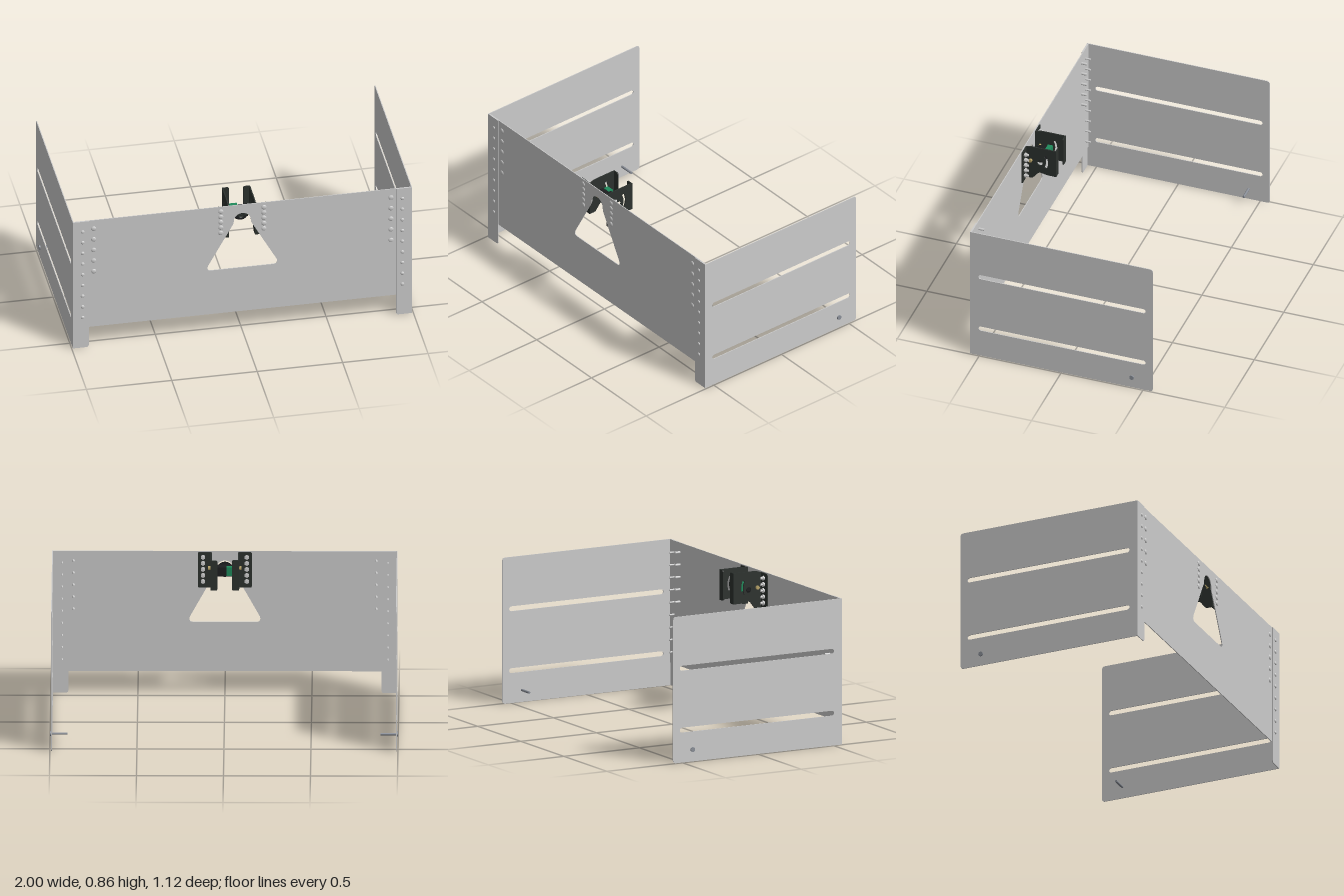
import * as THREE from 'three';

const material = (color) => new THREE.MeshStandardMaterial({ color, side: THREE.DoubleSide });
const T = 0.005; // sheet thickness
const TOP = 0.857;

// polygon with rounded corners; each point is [x, y, radius]
function roundedPath(points, target) {
  const n = points.length;
  points.forEach(([x, y, r = 0], i) => {
    const p = new THREE.Vector2(x, y);
    const toward = (q) => new THREE.Vector2(q[0], q[1]).sub(p).setLength(r || 1e-6).add(p);
    const a = toward(points[(i + n - 1) % n]);
    const b = toward(points[(i + 1) % n]);
    if (i === 0) target.moveTo(a.x, a.y);
    else target.lineTo(a.x, a.y);
    if (r) target.quadraticCurveTo(x, y, b.x, b.y);
  });
  target.closePath();
  return target;
}

function slotPath(u0, u1, y, r) {
  const p = new THREE.Path();
  p.moveTo(u0 + r, y - r);
  p.lineTo(u1 - r, y - r);
  p.absarc(u1 - r, y, r, -Math.PI / 2, Math.PI / 2, false);
  p.lineTo(u0 + r, y + r);
  p.absarc(u0 + r, y, r, Math.PI / 2, Math.PI * 1.5, false);
  return p;
}

const circlePath = (x, y, r) => new THREE.Path().absarc(x, y, r, 0, Math.PI * 2, true);

const sheet = (shape, depth = T) =>
  new THREE.ExtrudeGeometry(shape, { depth, bevelEnabled: false, curveSegments: 10 });

export function createModel() {
  const model = new THREE.Group();
  const grey = material(0xcccccc);
  const dark = material(0x2c312e);
  const black = material(0x1c1d1f);
  const green = material(0x1f8a5b);
  const brass = material(0xb8a468);
  const steel = material(0x8a8f98);

  const add = (parent, name, geometry, mat, x = 0, y = 0, z = 0) => {
    const mesh = new THREE.Mesh(geometry, mat);
    mesh.name = name;
    mesh.position.set(x, y, z);
    parent.add(mesh);
    return mesh;
  };

  // front sheet with bell-shaped opening
  const front = roundedPath([[-0.987, 0.133], [0.987, 0.133], [0.987, TOP], [-0.987, TOP]], new THREE.Shape());
  const opening = new THREE.Path();
  opening.moveTo(-0.185, 0.43);
  opening.lineTo(0.185, 0.43);
  opening.quadraticCurveTo(0.212, 0.432, 0.2, 0.465);
  opening.lineTo(0.062, 0.715);
  opening.quadraticCurveTo(0.052, 0.73, 0.05, 0.75);
  opening.absarc(0, 0.75, 0.05, 0, Math.PI, false);
  opening.quadraticCurveTo(-0.052, 0.73, -0.062, 0.715);
  opening.lineTo(-0.2, 0.465);
  opening.quadraticCurveTo(-0.212, 0.432, -0.185, 0.43);
  front.holes.push(opening);
  add(model, 'frontPanel', sheet(front), grey, 0, 0, 0.548);

  // domed fastener pointing backwards from the front face
  const headGeo = new THREE.SphereGeometry(1, 16, 6, 0, Math.PI * 2, 0, Math.PI / 2).rotateX(Math.PI / 2);
  const fastener = (name, x, y, r, zFace, zEnd) => {
    const g = new THREE.Group();
    g.name = name;
    const head = add(g, 'head', headGeo, grey, x, y, zFace);
    head.scale.set(r, r, 0.006);
    const length = zFace - zEnd;
    add(g, 'shank', new THREE.CylinderGeometry(r * 0.5, r * 0.5, length, 12).rotateX(Math.PI / 2),
      grey, x, y, zFace - length / 2);
    model.add(g);
    return g;
  };

  for (const s of [-1, 1]) {
    // side panel drawn in (-z, y), with two long slots
    const side = roundedPath([[-0.558, 0], [0.558, 0, 0.02], [0.558, TOP, 0.02], [-0.558, TOP]], new THREE.Shape());
    for (const y of [0.19, 0.553]) side.holes.push(slotPath(-0.506, 0.514, y, 0.0145));
    add(model, 'sidePanel', sheet(side).rotateY(Math.PI / 2), grey, s * 0.9905 - T / 2);

    // flange folded over the front sheet, reaching down as a leg
    const flange = roundedPath([[s * 0.9, 0, 0.015], [s * 0.993, 0], [s * 0.993, TOP], [s * 0.9, TOP]], new THREE.Shape());
    add(model, 'sideFlange', sheet(flange), grey, 0, 0, 0.553);

    // fastener columns
    for (let i = 0; i < 9; i++) fastener('flangeRivet', s * 0.936, 0.205 + i * 0.073, 0.011, 0.558, 0.515);
    for (let i = 0; i < 5; i++) {
      fastener('panelScrew', s * 0.87, 0.51 + i * 0.0725, 0.015, 0.553, 0.515);
      const y = 0.68 + i * 0.0363;
      fastener('bracketScrew', s * 0.126, y, 0.015, 0.553, 0.513);
      add(model, 'bracketNut', new THREE.CylinderGeometry(0.014, 0.014, 0.01, 6).rotateX(Math.PI / 2),
        grey, s * 0.126, y, 0.53);
    }

    // pin through the rear lower corner
    add(model, 'sidePin', new THREE.CylinderGeometry(0.007, 0.007, 0.095, 14).rotateZ(Math.PI / 2),
      steel, s * 0.948, 0.07, -0.43);
    add(model, 'sidePinHead', new THREE.CylinderGeometry(0.0135, 0.0135, 0.007, 20).rotateZ(Math.PI / 2),
      steel, s * 0.9965, 0.07, -0.43);
  }

  // mounting brackets behind the opening
  const mount = new THREE.Group();
  mount.name = 'mountBrackets';
  model.add(mount);
  const B = 0.007;
  for (const s of [-1, 1]) {
    const top = s < 0 ? 0.862 : 0.858;
    const wing = roundedPath([[s * 0.078, 0.64], [s * 0.155, 0.64, 0.01], [s * 0.155, 0.852, 0.01], [s * 0.078, 0.852]], new THREE.Shape());
    add(mount, 'bracketWing', sheet(wing, B), dark, 0, 0, 0.54);

    // cheek plate drawn in (-z, y) with a pivot hole and an arc slot
    const cheek = roundedPath([[-0.546, 0.64], [-0.505, 0.64, 0.01], [-0.465, 0.69, 0.015], [-0.41, 0.68, 0.01],
      [-0.362, 0.68], [-0.362, top], [-0.51, top, 0.01], [-0.546, 0.85]], new THREE.Shape());
    cheek.holes.push(circlePath(-0.515, 0.765, 0.008), circlePath(-0.46, 0.755, 0.017));
    const arc = new THREE.Path();
    arc.absarc(-0.515, 0.765, 0.105, -0.4, 0.5, false);
    arc.absarc(-0.515, 0.765, 0.09, 0.5, -0.4, true);
    cheek.holes.push(arc);
    add(mount, 'bracketCheek', sheet(cheek, B).rotateY(Math.PI / 2), dark, s * 0.079 - B / 2);

    // inward rear lip
    const lip = roundedPath([[s * 0.082, 0.68], [s * 0.042, 0.68, 0.01], [s * 0.042, top, 0.01], [s * 0.082, top]], new THREE.Shape());
    add(mount, 'bracketLip', sheet(lip, B), dark, 0, 0, 0.36);

    // pivot screw
    add(mount, 'pivotScrew', new THREE.CylinderGeometry(0.006, 0.006, 0.055, 12).rotateZ(Math.PI / 2),
      brass, s * 0.068, 0.765, 0.515);
    add(mount, 'pivotNut', new THREE.CylinderGeometry(0.012, 0.012, 0.012, 6).rotateZ(Math.PI / 2),
      brass, s * 0.09, 0.765, 0.515);
  }

  // small camera between the cheeks
  const camera = new THREE.Group();
  camera.name = 'cameraUnit';
  model.add(camera);
  add(camera, 'cameraBody', new THREE.BoxGeometry(0.09, 0.055, 0.05), black, 0, 0.765, 0.47);
  add(camera, 'cameraBoard', new THREE.BoxGeometry(0.045, 0.05, 0.03), green, -0.032, 0.77, 0.445);
  add(camera, 'cameraConnector', new THREE.BoxGeometry(0.025, 0.03, 0.02), black, -0.063, 0.765, 0.46);
  add(camera, 'cameraFace', new THREE.CylinderGeometry(0.04, 0.046, 0.012, 28).rotateX(Math.PI / 2), black, 0, 0.765, 0.5);
  const lens = [[0, 0.02], [0.012, 0.016], [0.014, 0.022], [0.02, 0.022], [0.022, 0]];
  add(camera, 'lens', new THREE.LatheGeometry(lens.map(([r, y]) => new THREE.Vector2(r, y)), 24).rotateX(Math.PI / 2),
    dark, 0, 0.765, 0.5);
  add(camera, 'cameraYoke', new THREE.BoxGeometry(0.12, 0.012, 0.006), dark, 0, 0.765, 0.515);

  return model;
}
